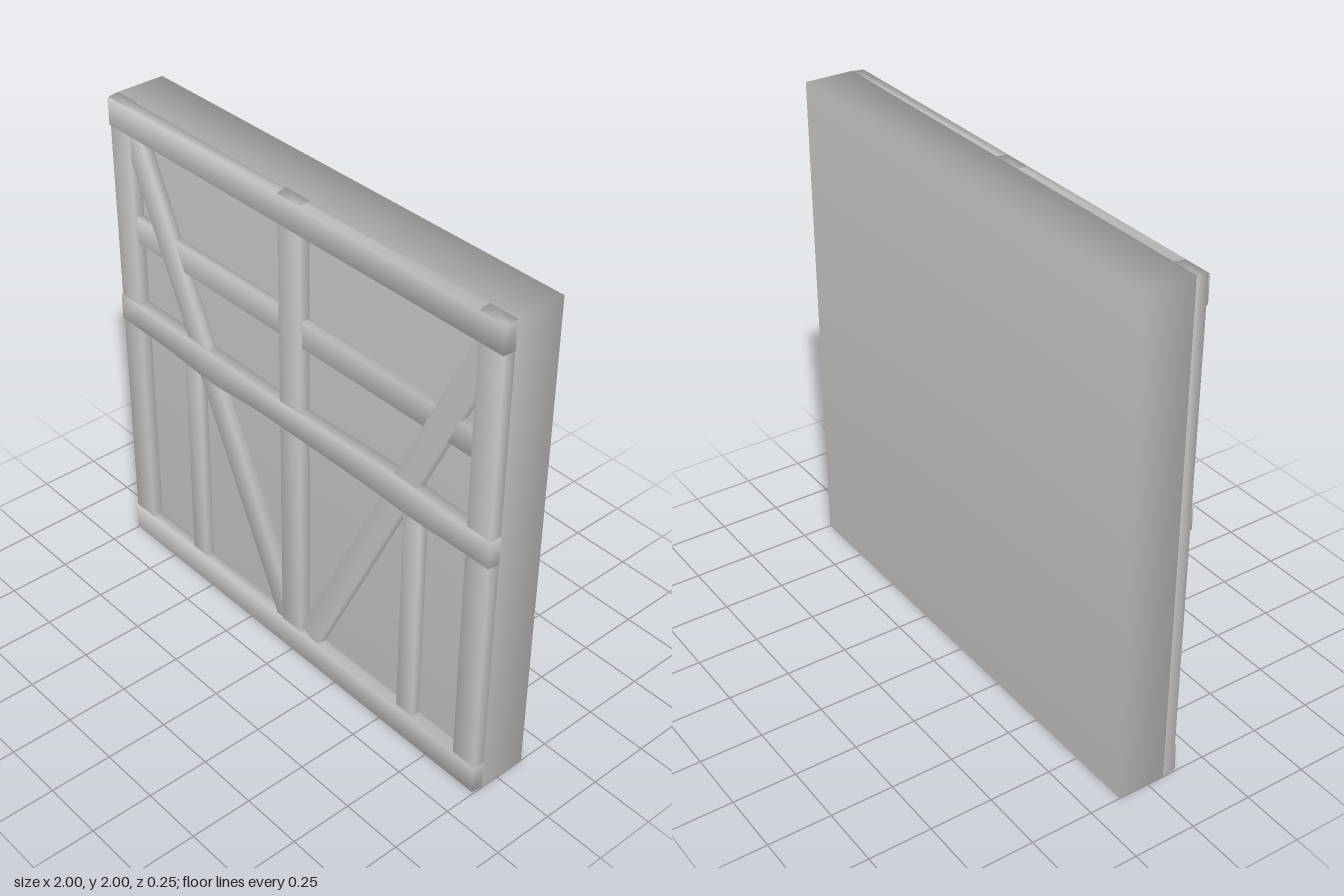
import * as THREE from 'three';
import { mergeVertices } from 'three/addons/utils/BufferGeometryUtils.js';

const material = new THREE.MeshStandardMaterial({ color: 0xcccccc });
const BACK = 0.07; // timbers sink slightly into the wall face

// Weld all corners so shading runs softly over the edges
function soften(geometry) {
  geometry.deleteAttribute('normal');
  geometry.deleteAttribute('uv');
  const welded = mergeVertices(geometry);
  welded.computeVertexNormals();
  return welded;
}

// Timber between two points on the wall, with its front edges eased;
// an optional bend(x, side) shifts its upper (+1) and lower (-1) edges
function timber(name, [x0, y0], [x1, y1], width, front, bend) {
  const length = Math.hypot(x1 - x0, y1 - y0);
  const depth = front - BACK;
  const g = new THREE.BoxGeometry(length, width, depth, bend ? 20 : 1, 1, 1);
  const p = g.attributes.position;
  for (let i = 0; i < p.count; i++) {
    const side = Math.sign(p.getY(i));
    if (p.getZ(i) > 0) {
      p.setY(i, p.getY(i) - side * 0.003);
      if (Math.abs(p.getX(i)) > length / 2 - 0.001) p.setX(i, p.getX(i) - Math.sign(p.getX(i)) * 0.003);
    }
    if (bend) p.setY(i, p.getY(i) + bend(p.getX(i), side));
  }
  const mesh = new THREE.Mesh(soften(g), material);
  mesh.name = name;
  mesh.position.set((x0 + x1) / 2, (y0 + y1) / 2, BACK + depth / 2);
  mesh.rotation.z = Math.atan2(y1 - y0, x1 - x0);
  return mesh;
}

export function createModel() {
  const model = new THREE.Group();
  model.name = 'timberFramedWall';

  // Plain wall slab
  const wall = new THREE.Mesh(soften(new THREE.BoxGeometry(2, 2, 0.2)), material);
  wall.name = 'wallPanel';
  wall.position.set(0, 1, -0.025);
  model.add(wall);

  // Full-height posts
  [['rightPost', -0.9425], ['centrePost', -0.0025], ['leftPost', 0.94]].forEach(([name, x]) =>
    model.add(timber(name, [x, 0.005], [x, 2], 0.116, 0.118)));

  // Top and bottom rails
  model.add(timber('topRail', [-1, 1.94], [1, 1.94], 0.112, 0.125));
  model.add(timber('bottomRail', [-1, 0.064], [1, 0.064], 0.12, 0.125));

  // Hand-hewn middle rail with uneven edges
  const bump = (x, centre, spread) => Math.exp(-(((x - centre) / spread) ** 2));
  const hewn = (x, side) => side > 0
    ? 0.012 * bump(x, 0.5, 0.25) - 0.005 * bump(x, -0.1, 0.3)
    : -0.02 * bump(x, -0.45, 0.18) - 0.008 * bump(x, 0.65, 0.15);
  model.add(timber('middleRail', [-1, 1.107], [1, 1.107], 0.114, 0.125, hewn));

  // Thin upper rail
  model.add(timber('upperRail', [-0.95, 1.485], [0.95, 1.485], 0.112, 0.107));

  // Diagonal braces
  model.add(timber('rightBrace', [-0.882, 1.885], [-0.037, 0.125], 0.112, 0.113));
  model.add(timber('leftBrace', [0.927, 1.885], [0.092, 0.125], 0.104, 0.113));

  // Short studs below the middle rail
  [['rightStud', -0.585], ['leftStud', 0.62]].forEach(([name, x]) =>
    model.add(timber(name, [x, 0], [x, 1.1], 0.09, 0.108)));

  return model;
}
